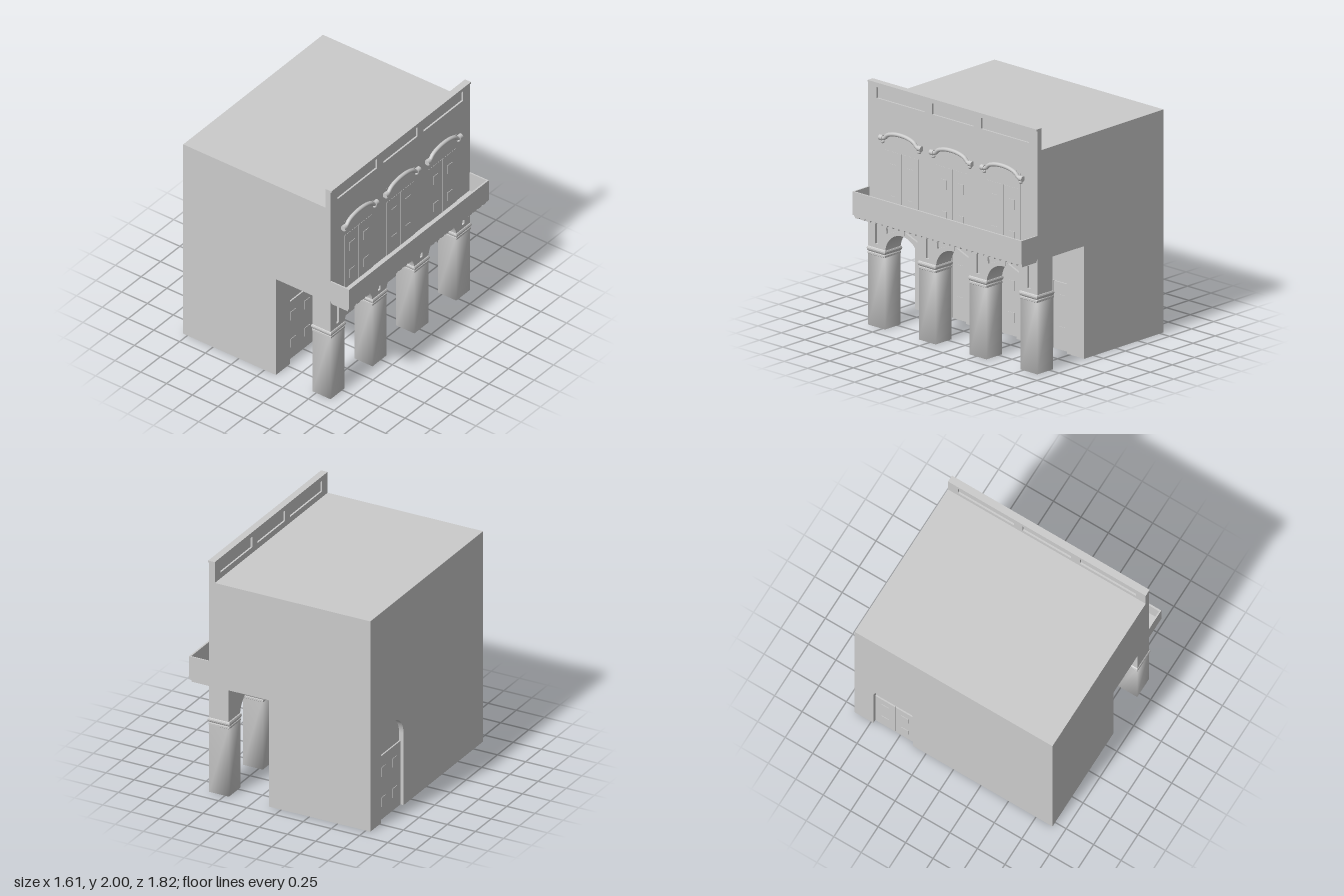
import * as THREE from 'three';
import { mergeVertices } from 'three/addons/utils/BufferGeometryUtils.js';

const mat = new THREE.MeshStandardMaterial({ color: 0xcccccc });
const R = 0.18, SPRING = 0.62;
const BAYS = [-0.54, 0, 0.54];

function add(parent, name, geo) {
  const m = new THREE.Mesh(geo, mat);
  m.name = name;
  parent.add(m);
  return m;
}

// Box given by its limits on each axis
function box(parent, name, x0, x1, y0, y1, z0, z1) {
  const g = new THREE.BoxGeometry(x1 - x0, y1 - y0, z1 - z0);
  g.translate((x0 + x1) / 2, (y0 + y1) / 2, (z0 + z1) / 2);
  return add(parent, name, g);
}

// Extrude a (-z, y) shape from x0 to x1
function extrudeX(shape, x0, x1) {
  const g = new THREE.ExtrudeGeometry(shape, { depth: x1 - x0, bevelEnabled: false, curveSegments: 24 });
  return g.rotateY(Math.PI / 2).translate(x0, 0, 0);
}

// Wall outline with arched openings cut up from its base
function archWall(bottom, top, centres) {
  const s = new THREE.Shape();
  s.moveTo(-0.9, bottom);
  for (const c of centres) {
    s.lineTo(c - R, bottom);
    if (bottom < SPRING) s.lineTo(c - R, SPRING);
    s.absarc(c, SPRING, R, Math.PI, 0, true);
    if (bottom < SPRING) s.lineTo(c + R, bottom);
  }
  s.lineTo(0.9, bottom);
  s.lineTo(0.9, top);
  s.lineTo(-0.9, top);
  s.closePath();
  return s;
}

function polyPath(points) {
  return new THREE.Path(points.map(p => new THREE.Vector2(p[0], p[1])));
}
const rectPath = (u0, u1, y0, y1) => polyPath([[u0, y0], [u0, y1], [u1, y1], [u1, y0]]);

// Double door facing +x, base at y = 0, back at x = 0
function makeDoor(name) {
  const door = new THREE.Group();
  door.name = name;
  for (const s of [-1, 1]) {
    const [a, b] = s < 0 ? [-R, -0.002] : [0.002, R];
    box(door, 'doorLeaf', 0, 0.012, 0, 0.55, a, b);
    for (const y of [0.11, 0.37])
      box(door, 'doorPanel', 0.01, 0.016, y, y + 0.08, s * 0.09 - 0.032, s * 0.09 + 0.032);
  }
  return door;
}

// Curved moulding over an upper door, with scrolled ends
function makeHood(z) {
  const hood = new THREE.Group();
  hood.name = 'windowHood';
  const pts = [[-0.21, 1.565], [-0.175, 1.57], [-0.14, 1.6], [-0.08, 1.62], [0, 1.627],
    [0.08, 1.62], [0.14, 1.6], [0.175, 1.57], [0.21, 1.565]];
  const curve = new THREE.CatmullRomCurve3(pts.map(p => new THREE.Vector3(0.655, p[1], p[0])));
  add(hood, 'hoodMoulding', new THREE.TubeGeometry(curve, 48, 0.017, 10));
  for (const s of [-1, 1]) {
    const end = add(hood, 'hoodEnd', new THREE.CylinderGeometry(0.022, 0.022, 0.035, 14));
    end.rotation.x = Math.PI / 2;
    end.position.set(0.655, 1.567, s * 0.205);
    const drop = add(hood, 'hoodDrop', new THREE.SphereGeometry(0.016, 12, 8));
    drop.position.set(0.652, 1.537, s * 0.195);
  }
  hood.position.z = z;
  return hood;
}

// Square column with a softly shaded shaft and a moulded neck
function makeColumn(z) {
  const column = new THREE.Group();
  column.name = 'column';
  const g = new THREE.BoxGeometry(0.176, SPRING, 0.18);
  g.deleteAttribute('normal');
  g.deleteAttribute('uv');
  const shaft = mergeVertices(g);
  shaft.computeVertexNormals();
  add(column, 'columnShaft', shaft).position.y = SPRING / 2;
  const profile = [[0.086, 0.58], [0.092, 0.585], [0.092, 0.6], [0.088, 0.605], [0.096, 0.618],
    [0.098, 0.63], [0.094, 0.642], [0.086, 0.648]].map(p => new THREE.Vector2(p[0] * Math.SQRT2, p[1]));
  const neck = new THREE.LatheGeometry(profile, 4).rotateY(Math.PI / 4).toNonIndexed();
  neck.computeVertexNormals();
  add(column, 'columnNeck', neck);
  column.position.set(0.552, 0, z);
  return column;
}

function makeShutter(z) {
  const shutter = new THREE.Group();
  shutter.name = 'shutter';
  const frame = new THREE.Shape();
  frame.setFromPoints([[-0.18, 1.1], [0.18, 1.1], [0.18, 1.46], [-0.18, 1.46]].map(p => new THREE.Vector2(...p)));
  for (const u of [-0.155, 0.015]) frame.holes.push(rectPath(u, u + 0.14, 1.13, 1.43));
  add(shutter, 'shutterFrame', extrudeX(frame, -0.825, -0.785));
  for (const s of [-1, 1])
    for (let i = 0; i < 6; i++) {
      const slat = add(shutter, 'slat', new THREE.BoxGeometry(0.012, 0.042, 0.14));
      slat.position.set(-0.81, 1.155 + i * 0.05, s * 0.085);
      slat.rotation.z = -0.35;
    }
  shutter.position.z = z;
  return shutter;
}

export function createModel() {
  const model = new THREE.Group();
  model.name = 'arcadedBuilding';

  // Ground floor: core between two walls with arched recesses
  box(model, 'groundFloorCore', -0.75, 0.06, 0, 0.92, -0.9, 0.9);
  add(model, 'groundFrontWall', extrudeX(archWall(0, 0.92, BAYS), 0.06, 0.11));
  add(model, 'groundRearWall', extrudeX(archWall(0, 0.92, [0.55]), -0.79, -0.75));
  const rearDoor = makeDoor('rearDoor');
  rearDoor.rotation.y = Math.PI;
  rearDoor.position.set(-0.75, 0, -0.55);
  model.add(rearDoor);

  // Upper floor and panelled parapet
  box(model, 'upperFloor', -0.79, 0.64, 0.92, 1.82, -0.9, 0.9);
  const parapet = new THREE.Shape();
  parapet.setFromPoints([[-0.9, 1.82], [0.9, 1.82], [0.9, 1.985], [-0.9, 1.985]].map(p => new THREE.Vector2(...p)));
  for (const [a, b] of [[-0.81, -0.3], [-0.22, 0.22], [0.3, 0.81]])
    parapet.holes.push(rectPath(a, b, 1.87, 1.96));
  add(model, 'parapet', extrudeX(parapet, 0.59, 0.64));
  box(model, 'parapetPanelBack', 0.605, 0.625, 1.84, 1.975, -0.85, 0.85);
  box(model, 'parapetCap', 0.59, 0.648, 1.985, 2, -0.9, 0.9);

  // Doors and hoods in every bay
  for (const z of BAYS) {
    const lower = makeDoor('groundDoor');
    lower.position.set(0.06, 0, z);
    const upper = makeDoor('balconyDoor');
    upper.position.set(0.632, 0.92, z);
    model.add(lower, upper, makeHood(z));
    box(model, 'transomPanel', 0.635, 0.642, 1.47, 1.6, z - R, z + R);
  }

  // Arcade: solid back layer, front layer with sunk panels
  const columnsZ = [-0.81, -0.27, 0.27, 0.81];
  add(model, 'arcade', extrudeX(archWall(SPRING, 0.92, BAYS), 0.466, 0.622));
  const face = archWall(SPRING, 0.92, BAYS);
  for (const z of columnsZ) {
    face.holes.push(rectPath(z - 0.016, z + 0.016, 0.68, 0.865));
    model.add(makeColumn(z));
  }
  for (const z of BAYS) {
    for (const s of [-1, 1])
      face.holes.push(polyPath([[0.04, 0.835], [0.1, 0.81], [0.165, 0.785], [0.175, 0.875], [0.04, 0.875]]
        .map(p => [z + s * p[0], p[1]])));
    box(model, 'keystone', 0.6, 0.645, 0.81, 0.9, z - 0.025, z + 0.025);
  }
  add(model, 'arcadeFace', extrudeX(face, 0.622, 0.64));

  // Open balcony with a ribbed underside
  box(model, 'balconyFloor', 0.64, 0.81, 0.94, 0.96, -0.89, 0.89);
  box(model, 'balconyFront', 0.805, 0.82, 0.94, 1.13, -0.9, 0.9);
  for (const s of [-1, 1])
    box(model, 'balconyEnd', 0.64, 0.806, 0.94, 1.13, s * 0.894 - 0.006, s * 0.894 + 0.006);
  box(model, 'balconySoffit', 0.63, 0.808, 0.926, 0.941, -0.895, 0.895);
  const ribs = 30;
  for (let i = 0; i < ribs; i++) {
    const z = -0.87 + (i * 1.74) / (ribs - 1);
    box(model, 'soffitRib', 0.63, 0.8, 0.91, 0.928, z - 0.02, z + 0.02);
  }
  return model;
}
